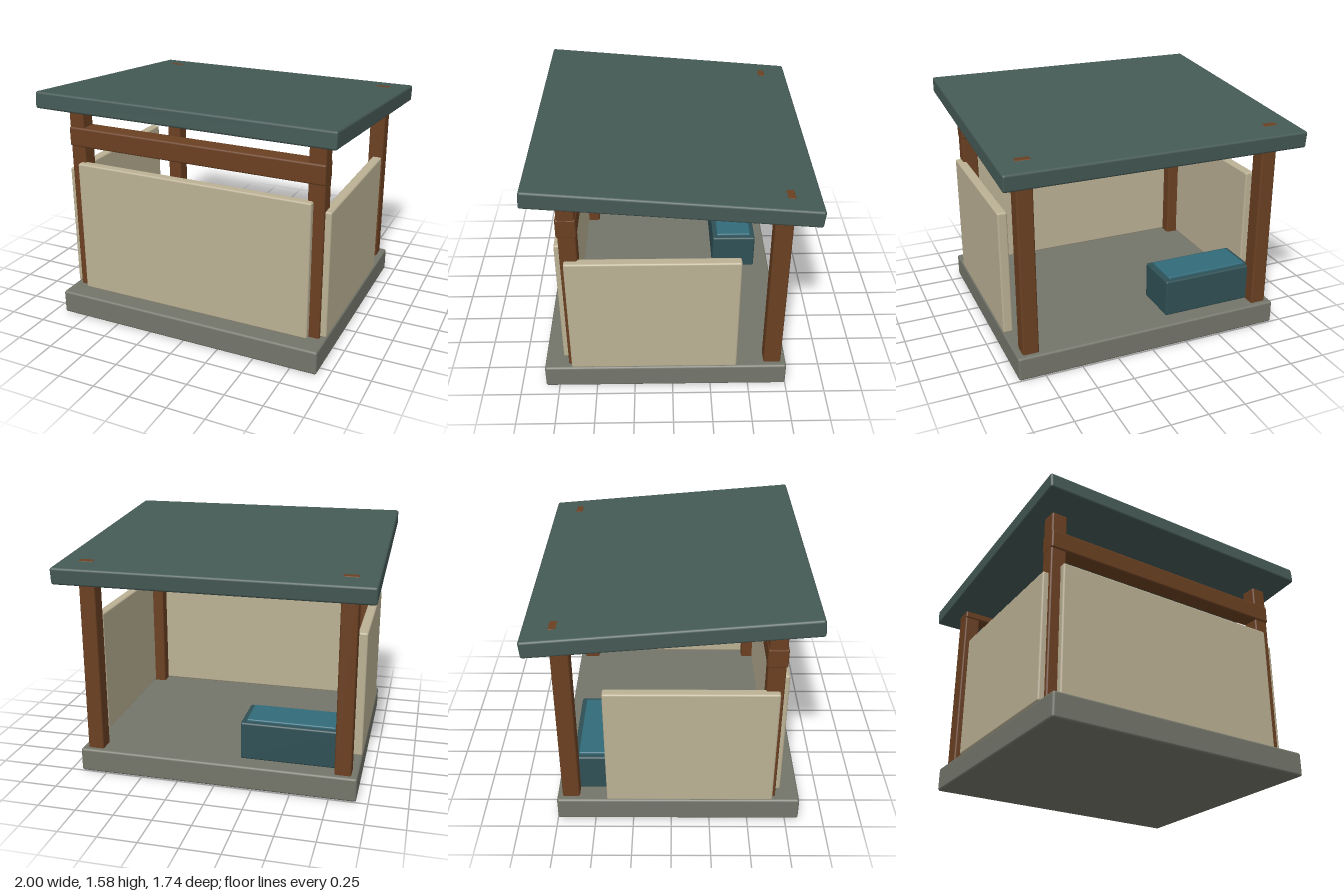
import * as THREE from 'three';
import { RoundedBoxGeometry } from 'three/addons/geometries/RoundedBoxGeometry.js';

const material = (color) => new THREE.MeshStandardMaterial({ color });

export function createModel() {
  const model = new THREE.Group();
  const stone = material(0x74756a);
  const wood = material(0x6b4022);
  const cream = material(0xbcb195);
  const slate = material(0x445955);
  const teal = material(0x2f5055);
  const lidTeal = material(0x326b7a);

  // Softly bevelled box given by its size and centre
  function block(name, size, centre, mat, radius = 0.012) {
    const mesh = new THREE.Mesh(new RoundedBoxGeometry(...size, 2, radius), mat);
    mesh.name = name;
    mesh.position.set(...centre);
    model.add(mesh);
    return mesh;
  }

  // Floor slab
  block('floor', [1.85, 0.16, 1.59], [0, 0.08, 0.045], stone, 0.015);

  // Posts and side walls, mirrored left and right
  for (const [side, s] of [['left', 1], ['right', -1]]) {
    block(side + 'FrontPost', [0.107, 1.3, 0.11], [s * 0.83, 0.797, 0.628], wood);
    block(side + 'BackPost', [0.107, 1.3, 0.113], [s * 0.83, 0.797, -0.658], wood);
    block(side + 'Wall', [0.065, 0.85, 1.08], [s * 0.89, 0.587, 0.12], cream);
  }

  // Front wall
  block('frontWall', [1.63, 0.915, 0.065], [0, 0.618, 0.69], cream);

  // Cross beams under the roof
  block('frontBeam', [1.77, 0.13, 0.125], [0, 1.248, 0.63], wood);
  block('backBeam', [1.77, 0.13, 0.125], [0, 1.36, -0.658], wood);

  // Roof, sloping down to the back
  block('roof', [2, 0.11, 1.74], [0, 1.45, 0], slate, 0.015).rotation.x = -0.0873;

  // Storage chest in the back corner
  block('chest', [0.65, 0.255, 0.315], [-0.475, 0.2875, -0.478], teal);
  block('chestLid', [0.58, 0.03, 0.25], [-0.475, 0.415, -0.478], lidTeal, 0.008);

  return model;
}
